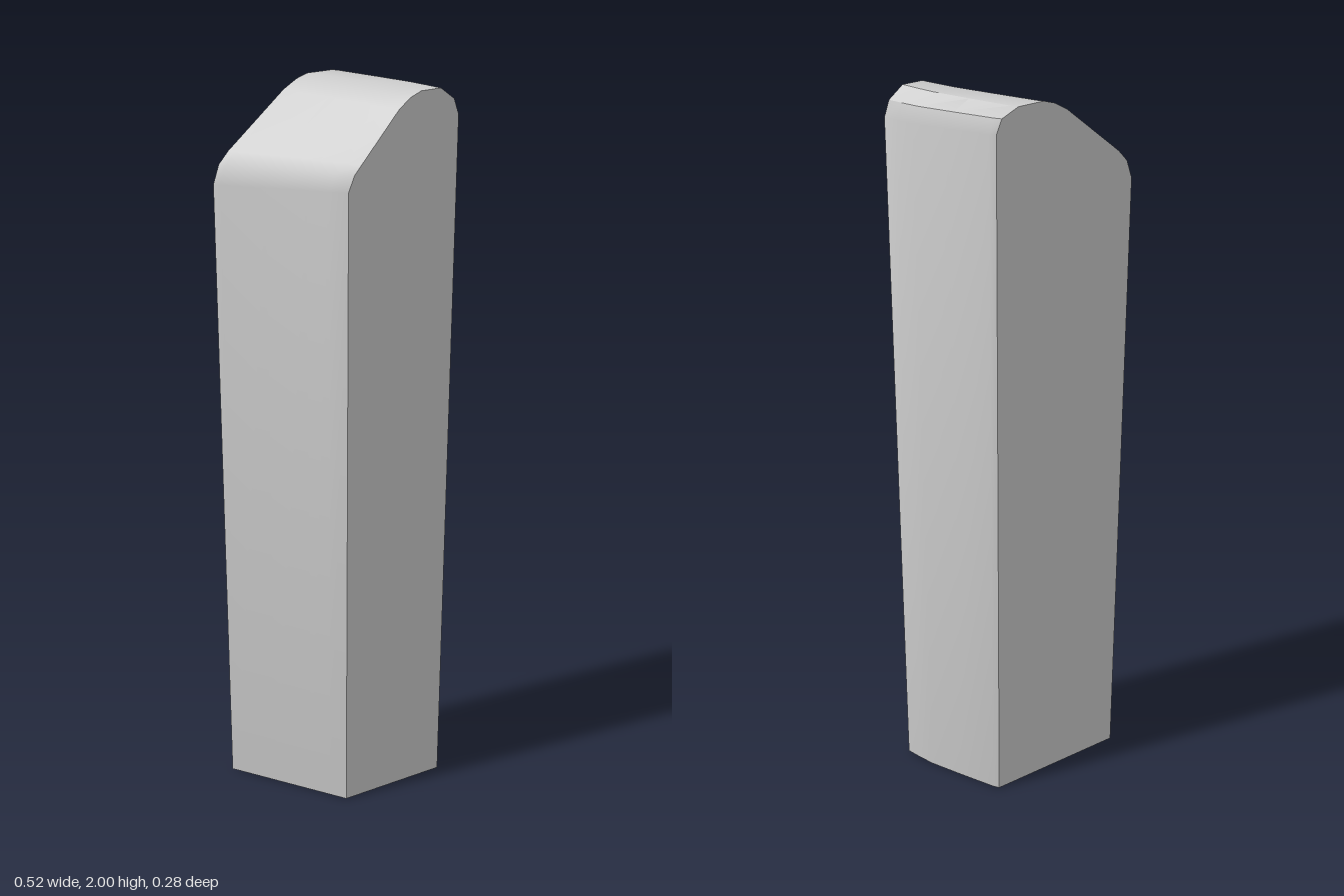
import * as THREE from 'three';
import { toCreasedNormals } from 'three/addons/utils/BufferGeometryUtils.js';

// Rounded, sloping top edge at the back and front faces, left to right: [x, y]
const backTop = [[-0.262, 1.757], [-0.246, 1.805], [-0.22, 1.835], [-0.066, 1.968],
  [-0.03, 1.99], [0, 2], [0.07, 2], [0.115, 1.98], [0.13, 1.945]];
const frontTop = [[-0.04, 1.78], [-0.024, 1.82], [-0.005, 1.843], [0.095, 1.962],
  [0.125, 1.987], [0.156, 2], [0.21, 2], [0.248, 1.97], [0.262, 1.93]];

// Plan of the bowed side wall: [z, x]
const bowedSide = [[-0.14, 0.13], [-0.125, 0.141], [-0.03, 0.191], [0.055, 0.234],
  [0.1, 0.25], [0.14, 0.262]];

// Cross-section at depth z: both outlines blended, then stretched to the bowed side
function section([z, right]) {
  const t = (z + 0.14) / 0.28;
  const mix = THREE.MathUtils.lerp;
  const left = mix(-0.262, -0.04, t);
  const top = backTop.map(([x, y], i) => {
    const [fx, fy] = frontTop[i];
    const across = mix((x + 0.262) / 0.392, (fx + 0.04) / 0.302, t);
    return [mix(left, right, across), mix(y, fy, t), z];
  });
  return [[left, 0, z], ...top, [right, 0, z]];
}

function loft(rings) {
  const positions = [];
  const tri = (...corners) => corners.forEach((p) => positions.push(...p));
  const n = rings[0].length;
  const first = rings[0];
  const last = rings[rings.length - 1];

  // Skin between neighbouring sections
  for (let i = 0; i < rings.length - 1; i++) {
    for (let j = 0; j < n; j++) {
      const k = (j + 1) % n;
      tri(rings[i][j], rings[i + 1][j], rings[i + 1][k]);
      tri(rings[i][j], rings[i + 1][k], rings[i][k]);
    }
  }
  // Flat back and front faces
  for (let j = 1; j < n - 1; j++) {
    tri(first[0], first[j], first[j + 1]);
    tri(last[0], last[j + 1], last[j]);
  }
  const geometry = new THREE.BufferGeometry();
  geometry.setAttribute('position', new THREE.Float32BufferAttribute(positions, 3));
  geometry.computeVertexNormals();
  return toCreasedNormals(geometry, 0.55);
}

export function createModel() {
  const group = new THREE.Group();
  group.name = 'tower';
  const material = new THREE.MeshStandardMaterial({ color: 0xcccccc });
  const body = new THREE.Mesh(loft(bowedSide.map(section)), material);
  body.name = 'towerBody';
  group.add(body);
  return group;
}
